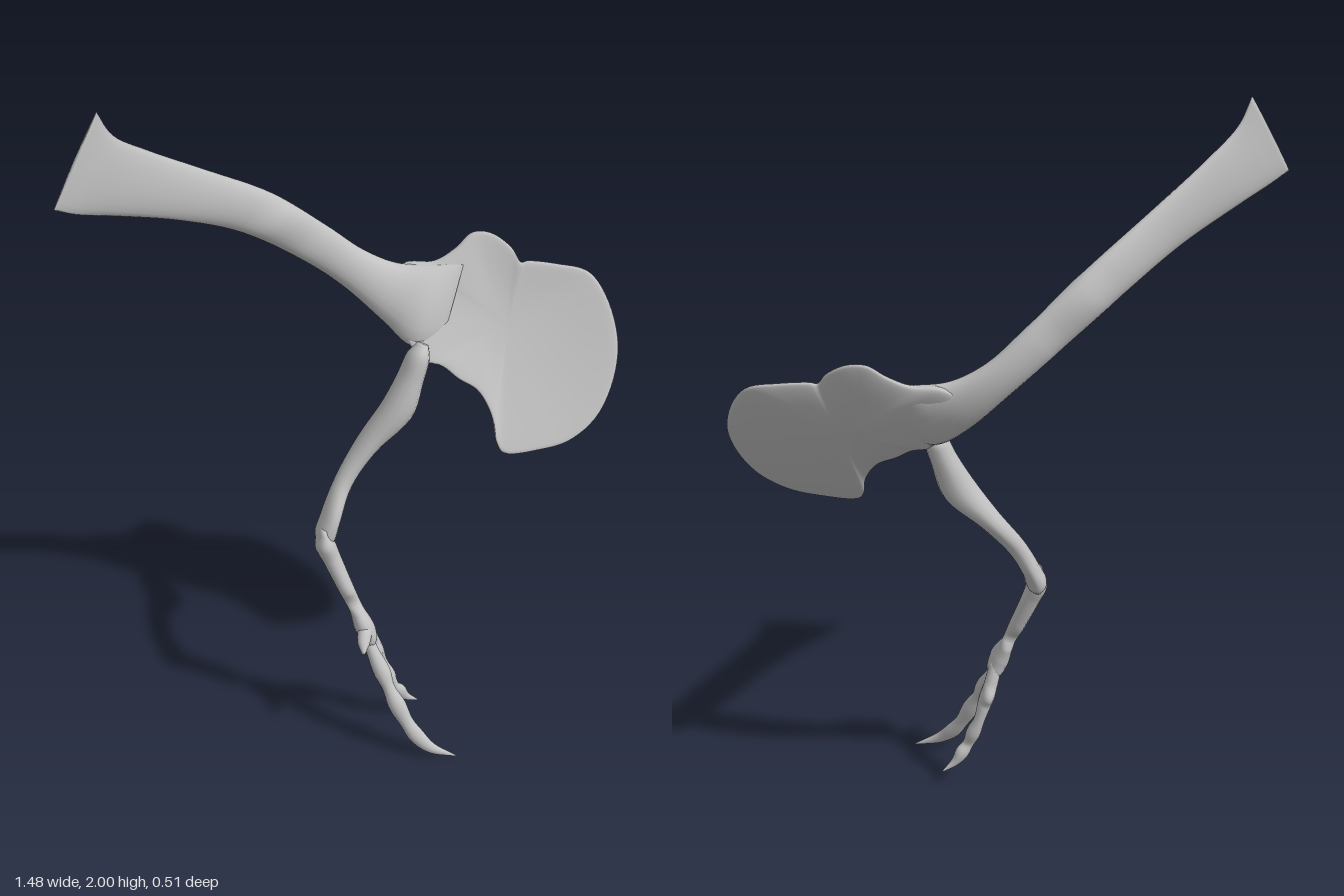
import * as THREE from 'three';

const V = (a) => new THREE.Vector3(a[0], a[1], a[2]);

// Closed smooth surface through a list of rings (arrays of Vector3)
function skin(name, rings, material) {
  const n = rings[0].length, pos = [], idx = [];
  rings.forEach((r) => r.forEach((p) => pos.push(p.x, p.y, p.z)));
  for (let i = 0; i < rings.length - 1; i++) {
    for (let j = 0; j < n; j++) {
      const a = i * n + j, b = i * n + (j + 1) % n;
      idx.push(a, b, a + n, b, b + n, a + n);
    }
  }
  // end caps
  [0, rings.length - 1].forEach((i) => {
    const c = new THREE.Vector3();
    rings[i].forEach((p) => c.addScaledVector(p, 1 / n));
    const k = pos.length / 3;
    pos.push(c.x, c.y, c.z);
    for (let j = 0; j < n; j++) {
      const a = i * n + j, b = i * n + (j + 1) % n;
      if (i === 0) idx.push(k, b, a); else idx.push(k, a, b);
    }
  });
  const g = new THREE.BufferGeometry();
  g.setAttribute('position', new THREE.Float32BufferAttribute(pos, 3));
  g.setIndex(idx);
  g.computeVertexNormals();
  const mesh = new THREE.Mesh(g, material);
  mesh.name = name;
  return mesh;
}

// Sections are [edgeA, edgeB, halfThickness]; rings are ellipses spanning the two edges
function loft(name, sections, material, steps = 6, sides = 20) {
  const m = sections.length - 1;
  const A = new THREE.CatmullRomCurve3(sections.map((s) => V(s[0])));
  const B = new THREE.CatmullRomCurve3(sections.map((s) => V(s[1])));
  const T = new THREE.CatmullRomCurve3(sections.map((s) => new THREE.Vector3(s[2], 0, 0)));
  const mid = (t) => A.getPoint(t).add(B.getPoint(t)).multiplyScalar(0.5);
  const rings = [];
  const N = m * steps;
  for (let i = 0; i <= N; i++) {
    const t = i / N, c = mid(t);
    const dir = mid(Math.min(1, t + 0.01)).sub(mid(Math.max(0, t - 0.01))).normalize();
    const u = A.getPoint(t).sub(B.getPoint(t)).multiplyScalar(0.5);
    const n = dir.clone().cross(u).normalize().multiplyScalar(T.getPoint(t).x);
    const ring = [];
    for (let j = 0; j < sides; j++) {
      const a = (j / sides) * Math.PI * 2;
      ring.push(c.clone().addScaledVector(u, Math.cos(a)).addScaledVector(n, Math.sin(a)));
    }
    rings.push(ring);
  }
  return skin(name, rings, material);
}

// Limb bone: points are [x, y, z, halfWidth, halfDepth]
function bone(name, pts, material) {
  const sections = pts.map((p, i) => {
    const d = V(pts[Math.min(i + 1, pts.length - 1)]).sub(V(pts[Math.max(i - 1, 0)]));
    const w = d.cross(new THREE.Vector3(0, 0, 1)).normalize().multiplyScalar(p[3]);
    return [V(p).add(w).toArray(), V(p).sub(w).toArray(), p[4]];
  });
  return loft(name, sections, material, 5, 14);
}

// Broad curved chest plate, lens-like in section
function chestPlate(material) {
  const outline = new THREE.CatmullRomCurve3([
    [.4, .915], [.5, .922], [.58, .943], [.66, 1.0], [.715, 1.09], [.735, 1.18], [.715, 1.28],
    [.675, 1.335], [.6, 1.352], [.52, 1.36], [.5, 1.357], [.48, 1.39], [.43, 1.425], [.38, 1.427],
    [.33, 1.39], [.27, 1.36], [.19, 1.355], [.13, 1.3], [.17, 1.19], [.21, 1.135], [.26, 1.12],
    [.3, 1.09], [.35, 1.06], [.38, 1.0], [.385, .94],
  ].map((p) => V([p[0], p[1], 0])), true, 'centripetal').getPoints(120).slice(0, 120);
  const rings = [], K = 24;
  for (let i = 0; i <= K; i++) {
    const a = -Math.PI / 2 + (Math.PI * i) / K;
    const s = Math.max(0.01, Math.cos(a));
    const side = Math.sign(a) * Math.sqrt(Math.abs(Math.sin(a)));
    rings.push(outline.map((p) => {
      const x = 0.45 + (p.x - 0.45) * s, y = 1.2 + (p.y - 1.2) * s;
      const half = 0.014 + 0.07 * Math.max(0, 0.4 - x);
      const z = 0.07 - 0.6 * (y - 0.92) + 0.2 * (x - 0.4) - 0.03 * (1 - s * s);
      return new THREE.Vector3(x, y, z + side * half);
    }));
  }
  return skin('chestPlate', rings, material);
}

export function createModel() {
  const group = new THREE.Group();
  group.name = 'forelimbSkeleton';
  const grey = new THREE.MeshStandardMaterial({ color: 0xc2c2c2 });
  grey.name = 'bone grey';

  // Long shoulder blade, flaring at the far end
  group.add(loft('shoulderBlade', [
    [[-.62, 2.0, .03], [-.742, 1.785, .09], .006],
    [[-.585, 1.93, .015], [-.69, 1.757, .07], .014],
    [[-.5, 1.86, -.03], [-.6, 1.72, .025], .02],
    [[-.35, 1.755, -.105], [-.43, 1.645, -.06], .024],
    [[-.17, 1.63, -.185], [-.26, 1.545, -.15], .03],
    [[-.02, 1.5, -.22], [-.09, 1.415, -.2], .03],
    [[.08, 1.412, -.23], [.02, 1.32, -.205], .032],
    [[.17, 1.365, -.225], [.12, 1.22, -.175], .036],
    [[.25, 1.355, -.22], [.19, 1.16, -.125], .04],
    [[.35, 1.36, -.205], [.27, 1.16, -.12], .012],
  ], grey));
  group.add(chestPlate(grey));

  // Arm
  group.add(bone('upperArm', [
    [.215, 1.18, -.1, .014, .02], [.2, 1.15, -.09, .03, .04], [.178, 1.09, -.083, .036, .044],
    [.14, 1.0, -.072, .046, .048], [.055, .9, -.068, .03, .044], [-.018, .8, -.04, .026, .031],
    [-.062, .71, -.005, .026, .048], [-.08, .66, .008, .028, .042], [-.085, .63, .012, .01, .015],
  ], grey));
  group.add(bone('forearm', [
    [-.088, .7, .03, .008, .015], [-.084, .65, .028, .028, .038], [-.066, .6, .034, .026, .03],
    [-.028, .5, .056, .022, .028], [-.004, .44, .068, .02, .028], [.014, .39, .085, .028, .04],
    [.028, .35, .085, .024, .038], [.034, .32, .08, .01, .02],
  ], grey));

  // Hand: short spur and two clawed fingers
  group.add(bone('thumbSpur', [
    [.02, .4, .085, .015, .015], [.01, .385, .115, .02, .02],
    [.002, .37, .14, .017, .016], [-.004, .353, .165, .004, .006],
  ], grey));
  group.add(bone('longFinger', [
    [.015, .38, .085, .016, .018], [.032, .32, .112, .018, .019], [.055, .26, .142, .024, .023],
    [.07, .215, .162, .018, .018], [.09, .165, .182, .025, .022], [.115, .11, .2, .02, .017],
    [.14, .07, .217, .023, .018], [.18, .033, .238, .016, .013], [.248, .006, .255, .002, .002],
  ], grey));
  group.add(bone('shortFinger', [
    [.025, .38, .075, .018, .02], [.045, .31, .057, .02, .022], [.062, .26, .05, .02, .022],
    [.078, .21, .045, .016, .017], [.095, .165, .05, .021, .021], [.11, .125, .055, .016, .015],
    [.128, .1, .05, .02, .017], [.15, .07, .046, .012, .011], [.185, .045, .04, .002, .002],
  ], grey));
  return group;
}
